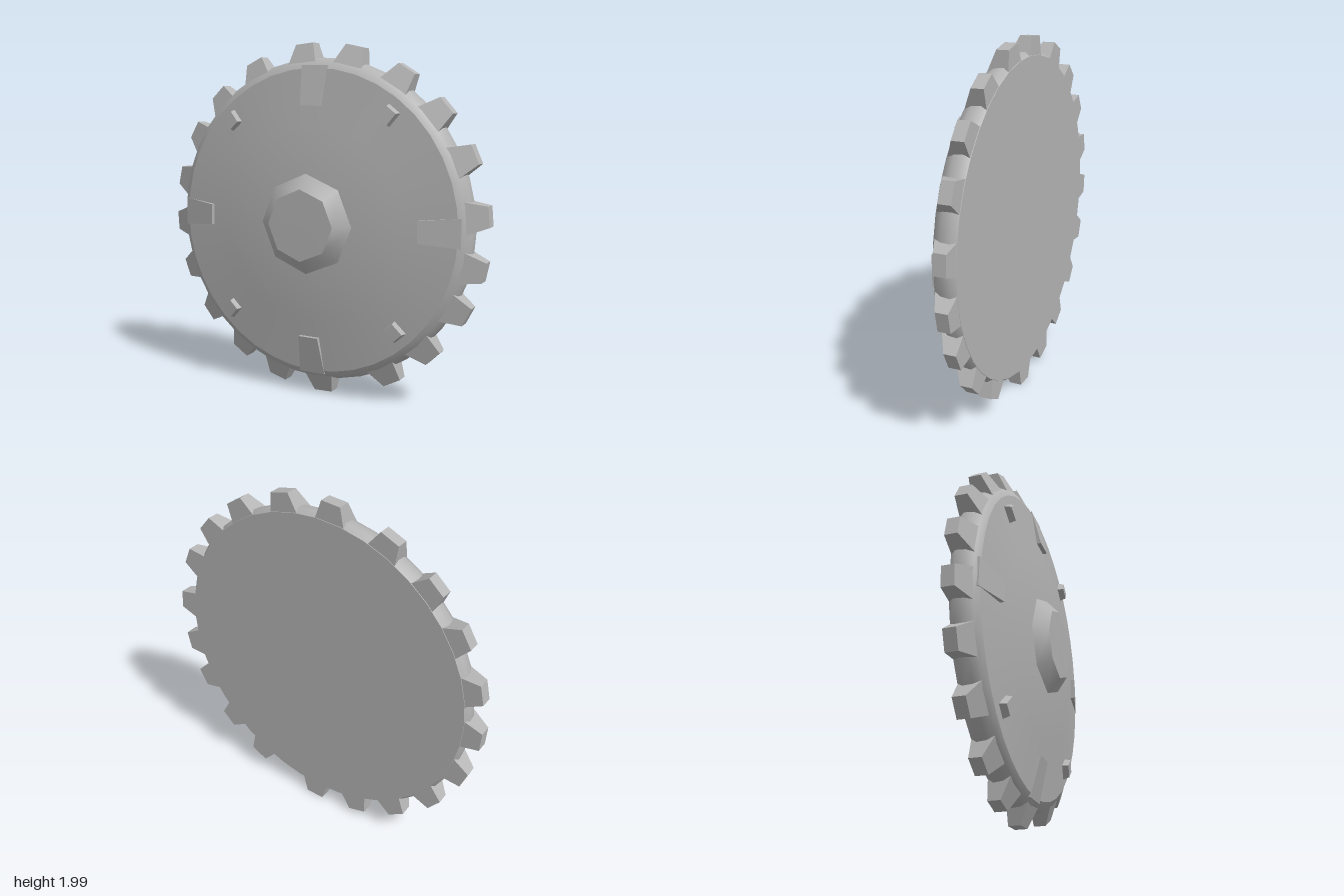
import * as THREE from 'three';

const steel = new THREE.MeshStandardMaterial({ color: 0xb4b4b4 });
steel.name = 'steel';

// Block pointing outwards along a radius; ends differ in width and front height
function radialBlock(name, degrees, { rIn, rOut, wIn, wOut, back, frontIn, frontOut, inset = 0 }) {
  const geo = new THREE.BoxGeometry(1, 1, 1);
  const p = geo.attributes.position;
  for (let i = 0; i < p.count; i++) {
    const outer = p.getX(i) > 0, front = p.getZ(i) > 0;
    const shrink = front ? inset : 0;
    p.setXYZ(
      i,
      outer ? rOut - shrink : rIn + shrink,
      Math.sign(p.getY(i)) * ((outer ? wOut : wIn) / 2 - shrink),
      front ? (outer ? frontOut : frontIn) : back
    );
  }
  geo.rotateZ(THREE.MathUtils.degToRad(degrees));
  geo.computeVertexNormals();
  const mesh = new THREE.Mesh(geo, steel);
  mesh.name = name;
  return mesh;
}

// Surface of revolution facing +z from [radius, z] pairs
function turned(name, points, sides) {
  const geo = new THREE.LatheGeometry(points.map(([r, z]) => new THREE.Vector2(r, z)), sides);
  geo.rotateX(Math.PI / 2);
  const mesh = new THREE.Mesh(geo, steel);
  mesh.name = name;
  return mesh;
}

export function createModel() {
  const shield = new THREE.Group();
  shield.name = 'shield';

  // Flat back, rounded rim, shallow conical face
  shield.add(turned('backPlate', [[0, -0.14], [0.895, -0.14]], 40));
  shield.add(turned('rim', [[0.895, -0.14], [0.915, -0.11], [0.91, -0.06], [0.89, -0.02], [0.855, 0.003]], 40));
  shield.add(turned('face', [[0.855, 0.003], [0.55, 0.04], [0.28, 0.073], [0, 0.075]], 40));

  // Eight-sided central boss
  shield.add(turned('bossSide', [[0.29, 0.065], [0.2, 0.143]], 8));
  shield.add(turned('bossCap', [[0.2, 0.143], [0, 0.145]], 8));

  // Unevenly spaced teeth around the edge
  const toothAngles = [95, 77, 58, 41, 24, 5, -12, -27, -45, -62, -88, -106, -123, -141, -159, -176.5, 167, 149.5, 133, 115];
  for (const a of toothAngles) {
    shield.add(radialBlock('tooth', a, {
      rIn: 0.85, rOut: 0.995, wIn: 0.19, wOut: 0.11, back: -0.138, frontIn: -0.005, frontOut: -0.07,
    }));
  }

  // Four wedges rising inwards from the edge
  for (const a of [89, 0, -90, 179]) {
    shield.add(radialBlock('wedge', a, {
      rIn: 0.65, rOut: 0.87, wIn: 0.12, wOut: 0.16, back: -0.02, frontIn: 0.052, frontOut: 0.0,
    }));
  }

  // Four studs between the wedges
  for (const a of [132, 52, -47, -134]) {
    shield.add(radialBlock('stud', a, {
      rIn: 0.71, rOut: 0.81, wIn: 0.09, wOut: 0.09, back: -0.01, frontIn: 0.055, frontOut: 0.045, inset: 0.012,
    }));
  }

  shield.position.y = 1;
  const model = new THREE.Group();
  model.add(shield);
  return model;
}
